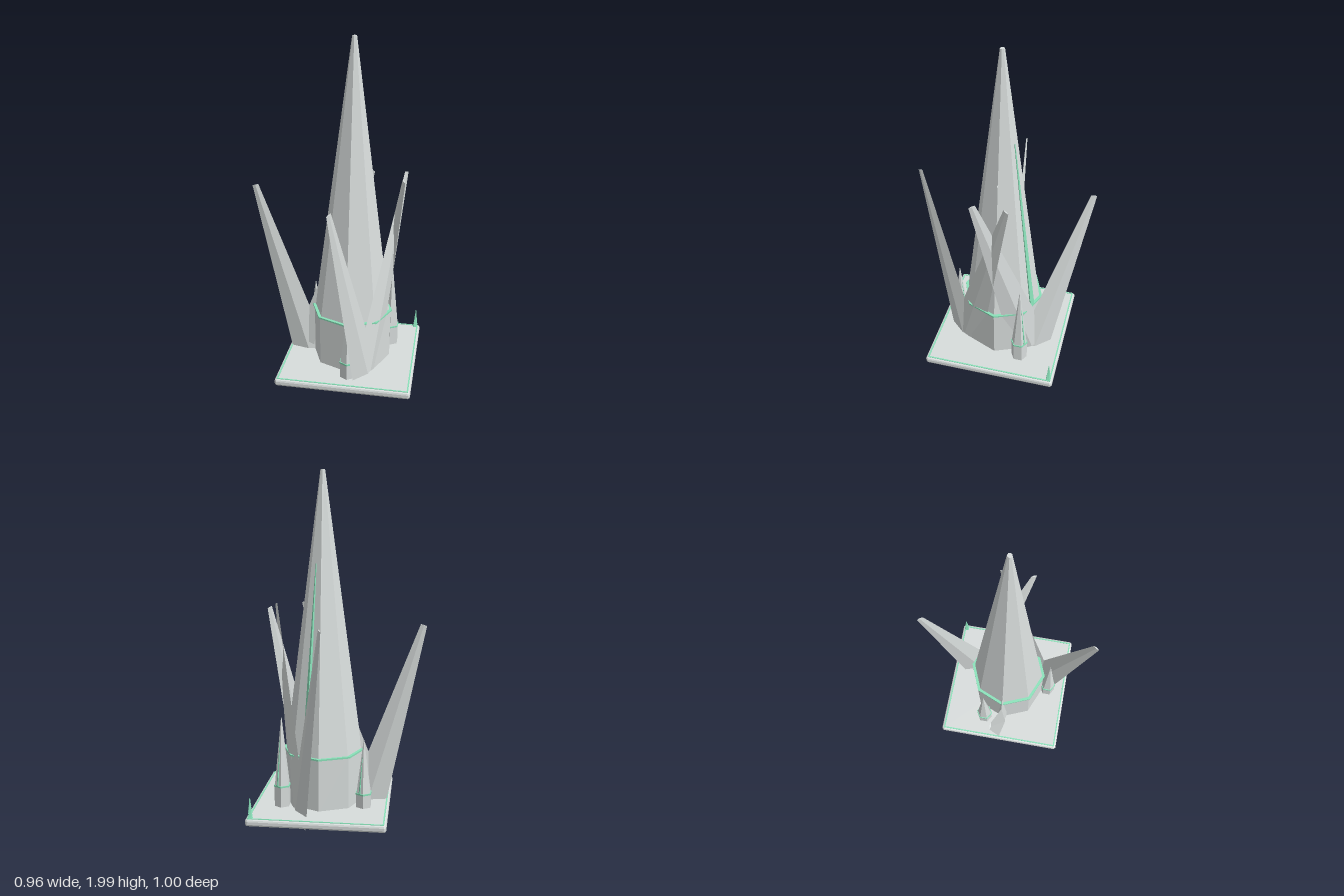
import * as THREE from 'three';

const grey = new THREE.MeshStandardMaterial({ color: 0xd8dddc, flatShading: true });
grey.name = 'pale stone grey';
const green = new THREE.MeshStandardMaterial({ color: 0x8ae2ba, flatShading: true });
green.name = 'mint green';

const CX = 0.097; // tower and plinth axis

function add(parent, name, geometry, material, x = 0, y = 0, z = 0) {
  const mesh = new THREE.Mesh(geometry, material);
  mesh.name = name;
  mesh.position.set(x, y, z);
  parent.add(mesh);
  return mesh;
}

// Upright faceted frustum between two heights
function frustum(parent, name, material, sides, rBottom, rTop, y0, y1) {
  const geo = new THREE.CylinderGeometry(rTop, rBottom, y1 - y0, sides);
  return add(parent, name, geo, material, 0, (y0 + y1) / 2, 0);
}

// Faceted tower: drum, green collar, spire and a tapering green rib on one face
function tower(name, o) {
  const g = new THREE.Group();
  g.name = name;
  g.position.set(o.x, 0, o.z);
  frustum(g, 'drum', grey, o.sides, o.r, o.r, 0.12, o.collarY);
  frustum(g, 'collar', green, o.sides, o.collarR, o.collarR, o.collarY - 0.0045, o.collarY + 0.0045);
  frustum(g, 'spire', grey, o.sides, o.spireR, o.tipR, o.collarY, o.tipY);

  const a = Math.PI / o.sides;
  const onFace = (t) => {
    const d = THREE.MathUtils.lerp(o.spireR, o.tipR, t) * Math.cos(a) + o.ribR * 0.15;
    return new THREE.Vector3(Math.sin(a) * d, THREE.MathUtils.lerp(o.collarY, o.tipY, t), -Math.cos(a) * d);
  };
  const p = onFace(0), q = onFace(0.68);
  const dir = q.clone().sub(p);
  const rib = add(g, 'rib', new THREE.CylinderGeometry(o.ribR * 0.15, o.ribR, dir.length(), 4), green);
  rib.position.copy(p).add(q).multiplyScalar(0.5);
  rib.quaternion.setFromUnitVectors(new THREE.Vector3(0, 1, 0), dir.normalize());
  return g;
}

// Pair of flattened blades crossing in a V
function bladePair(name, angle, px, pz, outerY, innerY) {
  const g = new THREE.Group();
  g.name = name;
  g.position.set(px, 0, pz);
  g.rotation.y = -angle;
  const length = 1.165;
  for (const [part, y, radius, tilt, shift] of [
    ['outerBlade', outerY, 0.112, -0.285, 0],
    ['innerBlade', innerY, 0.12, 0.29, -0.005],
  ]) {
    const geo = new THREE.CylinderGeometry(0.018, radius, length, 4);
    geo.translate(0, length / 2, 0);
    const blade = add(g, part, geo, grey, shift, y, 0);
    blade.scale.z = 0.23;
    blade.rotation.z = tilt;
  }
  return g;
}

// Square outline with small cut corners
function cutSquare(h, cut) {
  const e = h - cut;
  return new THREE.Shape([[-e, -h], [e, -h], [h, -e], [h, e], [e, h], [-e, h], [-h, e], [-h, -e]]
    .map(([x, y]) => new THREE.Vector2(x, y)));
}

export function createModel() {
  const model = new THREE.Group();
  model.name = 'spireCastle';

  // Square plinth with bevelled edges
  const slab = new THREE.ExtrudeGeometry(cutSquare(0.373, 0.004), {
    depth: 0.016, bevelEnabled: true, bevelThickness: 0.012, bevelSize: 0.012, bevelSegments: 2,
  });
  slab.rotateX(-Math.PI / 2);
  add(model, 'plinth', slab, grey, CX, 0.102, 0);

  // Green border line on the plinth
  const border = new THREE.Group();
  border.name = 'plinthBorder';
  border.position.x = CX;
  model.add(border);
  for (let i = 0; i < 4; i++) {
    const side = new THREE.Group();
    side.name = 'borderSide';
    side.rotation.y = (i * Math.PI) / 2;
    add(side, 'borderStrip', new THREE.BoxGeometry(0.746, 0.005, 0.008), green, 0, 0.1305, 0.369);
    border.add(side);
  }

  // Main tower
  model.add(tower('mainTower', {
    x: CX, z: 0, sides: 8, r: 0.228, collarR: 0.237, spireR: 0.22, tipR: 0.013,
    collarY: 0.43, tipY: 2, ribR: 0.018,
  }));

  // Small towers
  for (const [x, z, collarY, tipY] of [[-0.145, -0.118, 0.21, 0.52], [0.316, -0.152, 0.25, 0.645], [0.116, 0.265, 0.225, 0.56]]) {
    model.add(tower('smallTower', {
      x, z, collarY, tipY, sides: 6, r: 0.047, collarR: 0.05, spireR: 0.045, tipR: 0.002, ribR: 0.006,
    }));
  }

  // Blades around the main tower
  const R = 0.235, third = Math.PI / 3;
  model.add(bladePair('rightBlades', Math.PI, CX - R, 0, 0.04, 0.165));
  for (const s of [-1, 1]) {
    model.add(bladePair(s < 0 ? 'backBlades' : 'frontBlades', s * 2 * third,
      CX + R * Math.cos(third), s * R * Math.sin(third), 0.075, 0.14));
  }

  // Little tiered tree on the back corner
  const tree = new THREE.Group();
  tree.name = 'cornerTree';
  tree.position.set(0.455, 0, -0.36);
  for (let i = 0; i < 8; i++) {
    const r = 0.019 - i * 0.002, y = 0.13 + i * 0.014;
    frustum(tree, 'treeTier', green, 4, r, r * 0.4, y, y + 0.018).rotation.y = Math.PI / 4;
  }
  model.add(tree);

  return model;
}
